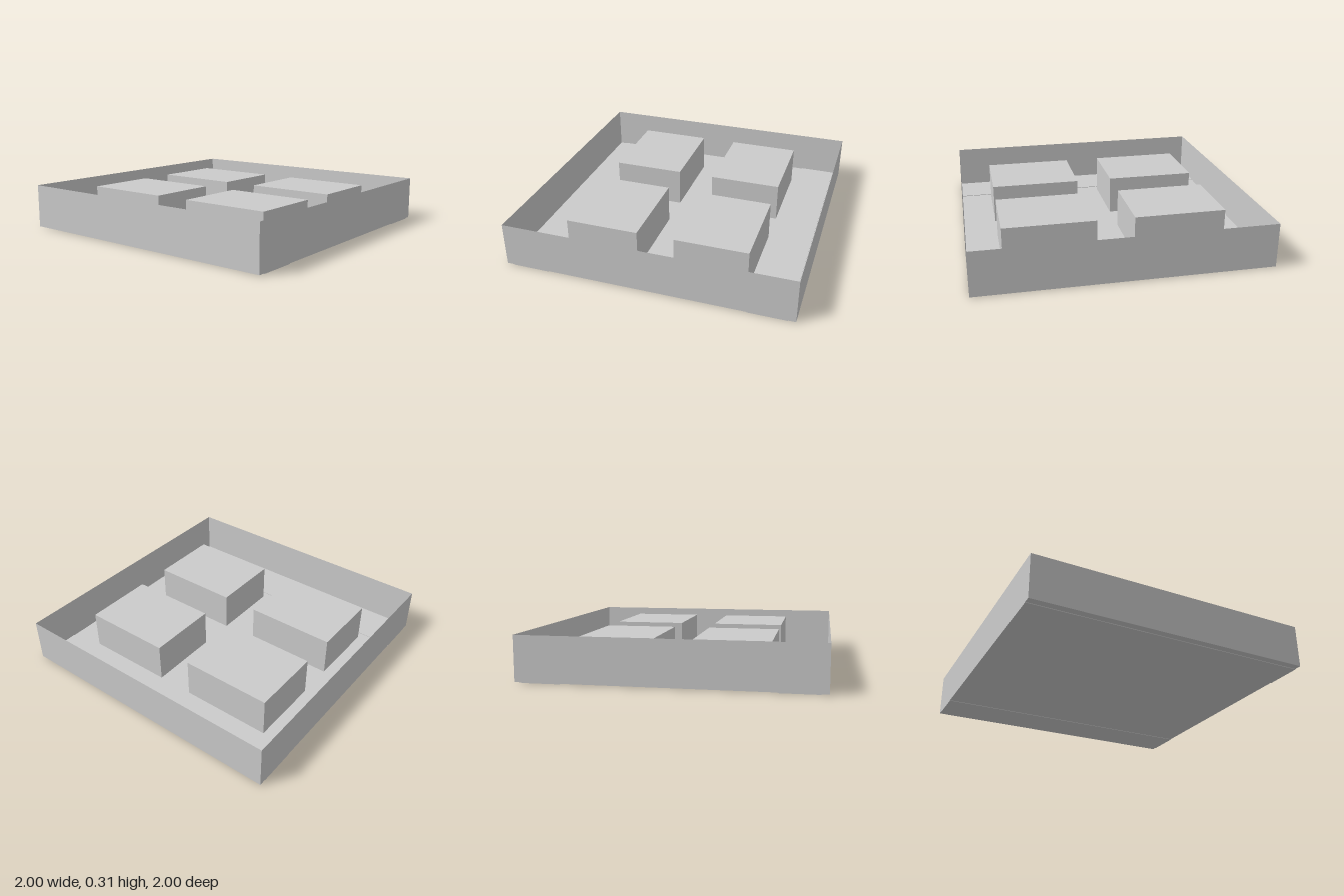
import * as THREE from 'three';

export function createModel() {
  const model = new THREE.Group();
  const solid = new THREE.MeshStandardMaterial({ color: 0xcccccc, flatShading: true });
  const sheet = new THREE.MeshStandardMaterial({ color: 0xcccccc, flatShading: true, side: THREE.DoubleSide });

  const add = (name, geometry, material, x, y, z) => {
    const mesh = new THREE.Mesh(geometry, material);
    mesh.name = name;
    mesh.position.set(x, y, z);
    model.add(mesh);
    return mesh;
  };

  const floorY = 0.004, rimY = 0.312, blockTop = 0.28;

  // Thin tray floor
  add('floor', new THREE.PlaneGeometry(2, 2).rotateX(-Math.PI / 2), sheet, 0, floorY, 0);

  // Four thin walls around the floor
  const wallHeight = rimY - floorY;
  ['frontWall', 'leftWall', 'backWall', 'rightWall'].forEach((name, i) => {
    const geometry = new THREE.PlaneGeometry(2, wallHeight).translate(0, 0, 1).rotateY(i * Math.PI / 2);
    add(name, geometry, sheet, 0, floorY + wallHeight / 2, 0);
  });

  for (const side of [-1, 1]) {
    const sideName = side > 0 ? 'left' : 'right';

    // Flat runner through the floor along each side
    add(sideName + 'Runner', new THREE.BoxGeometry(0.26, 0.008, 2), solid, side * 0.82, 0.004, 0);

    // Raised blocks, two per side
    for (const end of [-1, 1]) {
      const height = blockTop - floorY;
      add(sideName + (end > 0 ? 'Front' : 'Back') + 'Block',
        new THREE.BoxGeometry(0.51, height, 0.64), solid,
        side * 0.384, floorY + height / 2, end * 0.449);
    }
  }

  return model;
}
